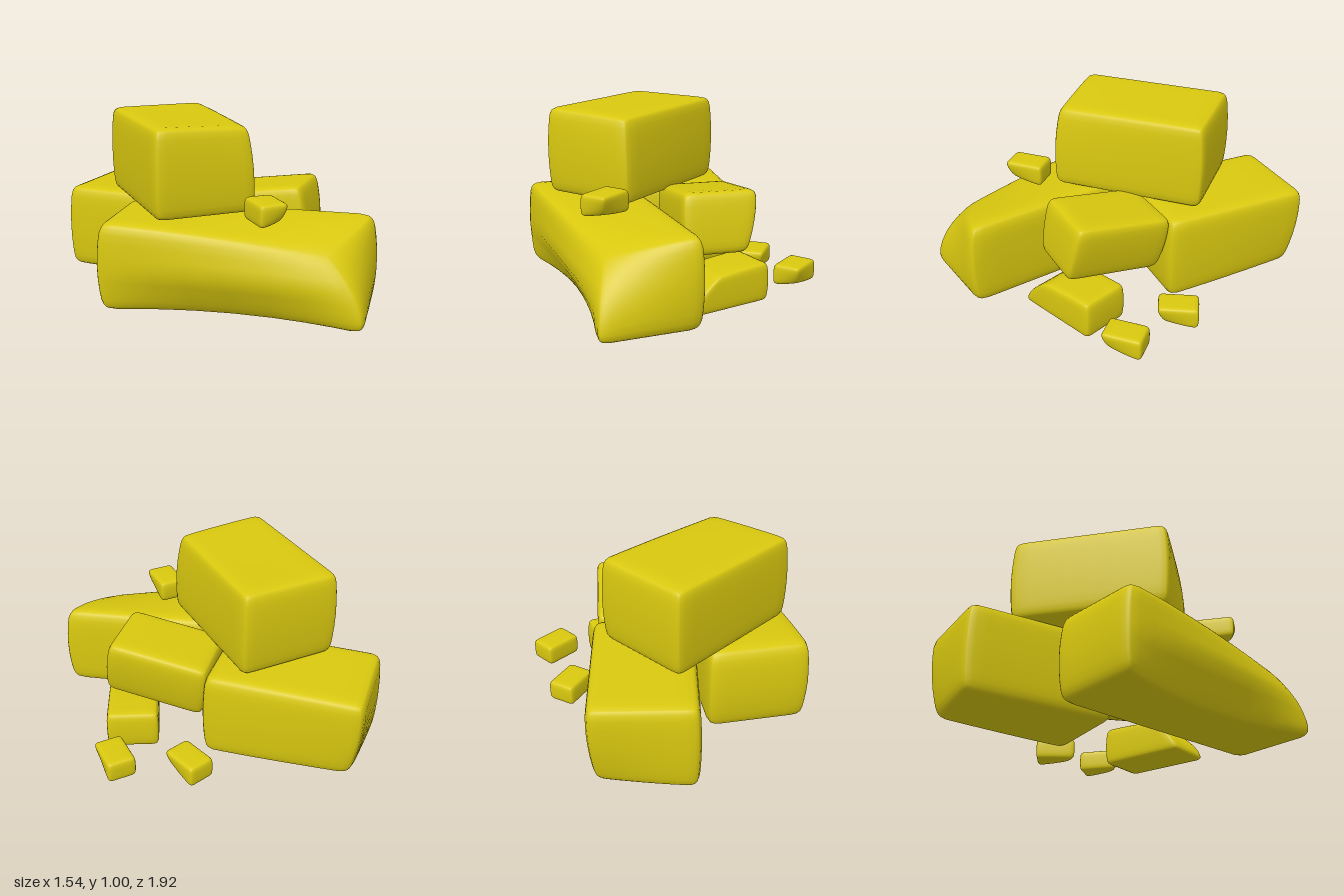
import * as THREE from 'three';
import { mergeVertices } from 'three/addons/utils/BufferGeometryUtils.js';

const material = new THREE.MeshStandardMaterial({ color: 0xd9c80f });

// Weight of a point towards a corner (signs of +-1) or an edge (0 = along that axis)
const nearness = (corner, u) =>
  corner.reduce((k, s, i) => (s ? (k * Math.max(0, 1 + s * u.getComponent(i))) / 2 : k), 1) ** 1.4;

// Softly rounded block; one corner or edge is pulled, and the lower front may be hollowed
function rockGeometry(w, h, d, { radius, corner, pull, dent = 0 }) {
  let geo = new THREE.BoxGeometry(2, 2, 2, 12, 12, 12);
  geo.deleteAttribute('uv');
  geo.deleteAttribute('normal');
  geo = mergeVertices(geo);
  const half = new THREE.Vector3(w, h, d).multiplyScalar(0.5);
  const high = half.clone().subScalar(radius);
  const low = high.clone().negate();
  const ease = (t) => Math.sign(t) * (1 - (1 - Math.abs(t)) ** 2); // more loops near edges
  const pos = geo.attributes.position;
  const offset = new THREE.Vector3(...pull);
  const p = new THREE.Vector3(), core = new THREE.Vector3();
  for (let i = 0; i < pos.count; i++) {
    p.set(ease(pos.getX(i)), ease(pos.getY(i)), ease(pos.getZ(i))).multiply(half);
    core.copy(p).clamp(low, high);
    p.sub(core);
    const len = Math.cbrt(Math.abs(p.x) ** 3 + Math.abs(p.y) ** 3 + Math.abs(p.z) ** 3);
    p.multiplyScalar(radius / len).add(core);
    const u = p.clone().divide(half);
    const bulge = 1 + 0.04 * (0.3 - u.y * u.y);
    p.x *= bulge;
    p.z *= bulge;
    p.addScaledVector(offset, nearness(corner, u));
    p.z -= dent * (1 - u.x * u.x) * Math.max(0, -u.y) * Math.max(0, u.z);
    pos.setXYZ(i, p.x, p.y, p.z);
  }
  geo.computeVertexNormals();
  return geo;
}

export function createModel() {
  const group = new THREE.Group();
  group.name = 'rockPile';

  const add = (name, geometry, x, y, z, yaw = 0, tilt = 0) => {
    const mesh = new THREE.Mesh(geometry, material);
    mesh.name = name;
    mesh.position.set(x, y, z);
    mesh.rotation.set(0, THREE.MathUtils.degToRad(yaw), THREE.MathUtils.degToRad(tilt), 'YXZ');
    group.add(mesh);
  };

  // Two large boulders at the base, the front one sloping off at its near corner
  add('frontBoulder', rockGeometry(1.37, 0.48, 0.55, {
    radius: 0.08, corner: [1, 1, 1], pull: [-0.2, -0.12, -0.1], dent: 0.12,
  }), -0.06, 0.29, 0.37, -35.2);
  add('backBoulder', rockGeometry(0.84, 0.48, 0.55, {
    radius: 0.07, corner: [-1, -1, -1], pull: [0.05, 0.02, 0.03],
  }), -0.25, 0.29, -0.51, -45);

  // Boulder resting on both
  add('topBoulder', rockGeometry(0.55, 0.47, 0.85, {
    radius: 0.06, corner: [1, 1, 1], pull: [-0.03, -0.02, -0.02],
  }), -0.22, 0.765, -0.085);

  // Tilted rock propped on a low wedge
  add('leaningRock', rockGeometry(0.55, 0.33, 0.41, {
    radius: 0.06, corner: [0, -1, -1], pull: [0, 0, 0.06],
  }), 0.29, 0.42, -0.06, -42, 8.5);
  add('lowRock', rockGeometry(0.28, 0.215, 0.5, {
    radius: 0.04, corner: [0, 1, 1], pull: [0, -0.02, -0.17],
  }), 0.43, 0.11, 0.07, -24);

  // Loose pebbles
  const pebble = rockGeometry(0.155, 0.118, 0.218, {
    radius: 0.03, corner: [1, -1, 1], pull: [-0.03, 0.02, -0.04],
  });
  add('perchedPebble', pebble, 0.028, 0.585, 0.5);
  add('sidePebble', pebble, 0.697, 0.108, -0.32);
  add('backPebble', pebble, 0.355, 0.083, -0.495, 15);

  return group;
}
